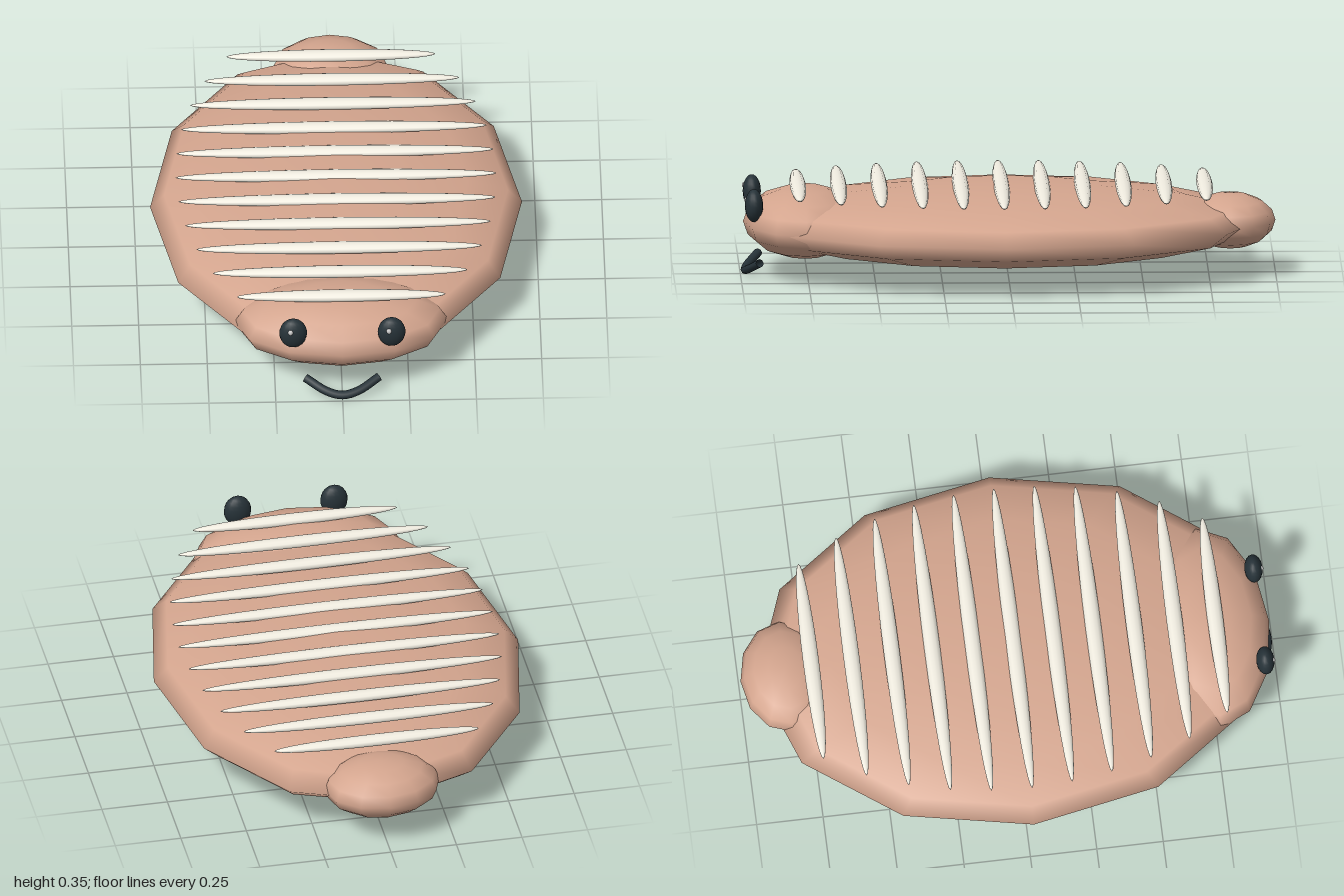
import * as THREE from 'three';

export function createModel() {
  const model = new THREE.Group();
  const material = (color) => new THREE.MeshStandardMaterial({ color });
  const skin = material(0xd4a58e);
  const ivory = material(0xf0ece0);
  const dark = material(0x263238);
  const white = material(0xffffff);

  function add(name, geometry, mat) {
    const mesh = new THREE.Mesh(geometry, mat);
    mesh.name = name;
    model.add(mesh);
    return mesh;
  }

  // A scaled sphere: radii and centre are [x, y, z]
  function ellipsoid(name, radii, centre, mat, sides = 12, rings = 8) {
    const mesh = add(name, new THREE.SphereGeometry(1, sides, rings), mat);
    mesh.scale.set(...radii);
    mesh.position.set(...centre);
    return mesh;
  }

  // Flat body with a wide head and a stubby tail
  ellipsoid('body', [0.695, 0.145, 0.96], [0, 0.195, 0.02], skin);
  ellipsoid('head', [0.4, 0.13, 0.23], [0, 0.2, 0.76], skin);
  ellipsoid('tail', [0.22, 0.103, 0.17], [0, 0.198, -0.83], skin);

  // Slender cross ridges along the back, shorter towards both ends
  for (let i = -5; i <= 5; i++) {
    const offset = i * 0.152;
    const halfLength = 0.6 * Math.sqrt(1 - offset * offset);
    const ridge = ellipsoid('backRidge', [0.02, halfLength, 0.03],
      [0, 0.333, 0.025 + offset], ivory, 12, 16);
    ridge.rotation.z = Math.PI / 2;
  }

  // Eyes with small highlights
  for (const side of [1, -1]) {
    const prefix = side > 0 ? 'left' : 'right';
    ellipsoid(prefix + 'Eye', [0.052, 0.062, 0.034], [side * 0.184, 0.286, 0.953], dark, 16, 12);
    ellipsoid(prefix + 'EyeHighlight', [0.011, 0.012, 0.011],
      [side * 0.184 - 0.01, 0.307, 0.979], white, 8, 6);
  }

  // Smiling mouth, tilted forward at its middle
  const smile = new THREE.CatmullRomCurve3([
    new THREE.Vector3(-0.138, 0.061, 0.93),
    new THREE.Vector3(-0.06, 0.028, 0.971),
    new THREE.Vector3(0, 0.017, 0.983),
    new THREE.Vector3(0.06, 0.028, 0.971),
    new THREE.Vector3(0.138, 0.061, 0.93),
  ]);
  const mouth = add('mouth', new THREE.TubeGeometry(smile, 20, 0.016, 8, false), dark.clone());
  mouth.material.side = THREE.DoubleSide;

  return model;
}
